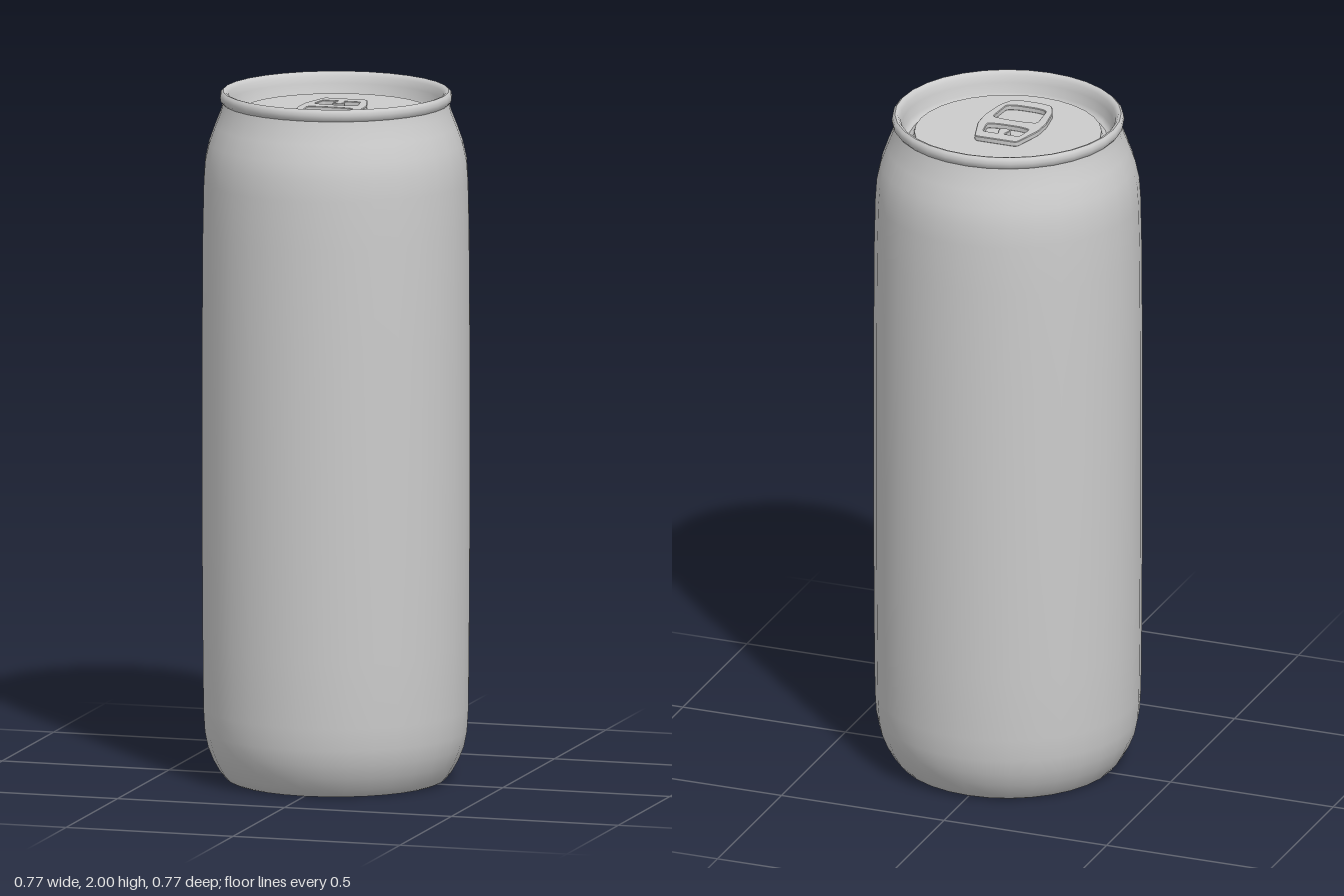
import * as THREE from 'three';
import { toCreasedNormals } from 'three/addons/utils/BufferGeometryUtils.js';

const material = new THREE.MeshStandardMaterial({ color: 0xcccccc });
const SEGMENTS = 32;

function lathePart(name, profile) {
  const points = profile.map(([r, y]) => new THREE.Vector2(r, y));
  const geometry = toCreasedNormals(new THREE.LatheGeometry(points, SEGMENTS), 0.75);
  const mesh = new THREE.Mesh(geometry, material);
  mesh.name = name;
  return mesh;
}

// Closed outline through the right-hand half points [x, z], mirrored, with rounded corners
function roundedOutline(half, radius, PathType) {
  const mirrored = half.slice().reverse().filter(([x]) => x > 0).map(([x, z]) => [-x, z]);
  const pts = [...half, ...mirrored].map(([x, z]) => new THREE.Vector2(x, z));
  const path = new PathType();
  pts.forEach((p, i) => {
    const prev = pts[(i + pts.length - 1) % pts.length];
    const next = pts[(i + 1) % pts.length];
    const toward = (q) => {
      const d = q.clone().sub(p);
      return p.clone().addScaledVector(d, Math.min(radius / d.length(), 0.45));
    };
    const a = toward(prev), b = toward(next);
    if (i === 0) path.moveTo(a.x, a.y);
    else path.lineTo(a.x, a.y);
    path.quadraticCurveTo(p.x, p.y, b.x, b.y);
  });
  path.closePath();
  return path;
}

function pullTab() {
  const shape = roundedOutline(
    [[0.065, -0.098], [0.093, 0.0], [0.095, 0.06], [0.083, 0.14], [0.062, 0.187], [0.025, 0.195]],
    0.012, THREE.Shape);
  // Rear opening, notched by the rivet tongue
  const rearHole = roundedOutline(
    [[0.018, -0.055], [0.055, -0.055], [0.064, 0.002], [0.03, 0.009]].concat([]), 0.008, THREE.Path);
  const tongue = [[0.018, -0.025], [0.011, -0.017], [0, -0.014]];
  const rear = new THREE.Path();
  const edge = rearHole.getPoints(4);
  rear.setFromPoints([
    ...edge,
    ...tongue.map(([x, z]) => new THREE.Vector2(-x, z)),
    ...tongue.slice(0, 2).reverse().map(([x, z]) => new THREE.Vector2(x, z)),
  ].filter((p, i, all) => i === 0 || p.distanceTo(all[i - 1]) > 1e-5));
  // Remove the closing point that would cut straight across the tongue
  const start = edge[0];
  const pts = rear.getPoints(1).filter((p, i) => i === 0 || p.distanceTo(start) > 1e-5);
  const rearPath = new THREE.Path().setFromPoints(pts);
  // Front finger opening
  const frontHole = roundedOutline(
    [[0.03, 0.049], [0.068, 0.055], [0.061, 0.146], [0.03, 0.154]], 0.012, THREE.Path);
  shape.holes.push(rearPath, frontHole);

  const geometry = new THREE.ExtrudeGeometry(shape, {
    depth: 0.012, curveSegments: 4,
    bevelEnabled: true, bevelThickness: 0.002, bevelSize: 0.002, bevelOffset: -0.002, bevelSegments: 1,
  });
  geometry.rotateX(Math.PI / 2);
  const mesh = new THREE.Mesh(toCreasedNormals(geometry, 0.6), material);
  mesh.name = 'pullTab';
  mesh.position.y = 1.958;
  return mesh;
}

export function createModel() {
  const group = new THREE.Group();
  group.name = 'drinkCan';

  // Flat base, rounded foot, straight wall and tapered neck
  group.add(lathePart('body', [
    [0, 0.005], [0.295, 0.005], [0.305, 0], [0.315, 0.005], [0.332, 0.025], [0.352, 0.06],
    [0.368, 0.1], [0.377, 0.145], [0.381, 0.21], [0.383, 0.4], [0.385, 0.7], [0.385, 1.3],
    [0.383, 1.6], [0.38, 1.74], [0.376, 1.8], [0.365, 1.85], [0.347, 1.9], [0.331, 1.94], [0.325, 1.965],
  ]));

  // Rolled rim, countersink groove and recessed panel
  group.add(lathePart('lid', [
    [0.325, 1.965], [0.331, 1.972], [0.333, 1.983], [0.331, 1.994], [0.324, 2], [0.316, 1.998],
    [0.309, 1.988], [0.304, 1.968], [0.299, 1.94], [0.293, 1.927], [0.285, 1.923], [0.276, 1.926],
    [0.271, 1.934], [0.268, 1.945], [0, 1.945],
  ]));

  group.add(pullTab());
  return group;
}
